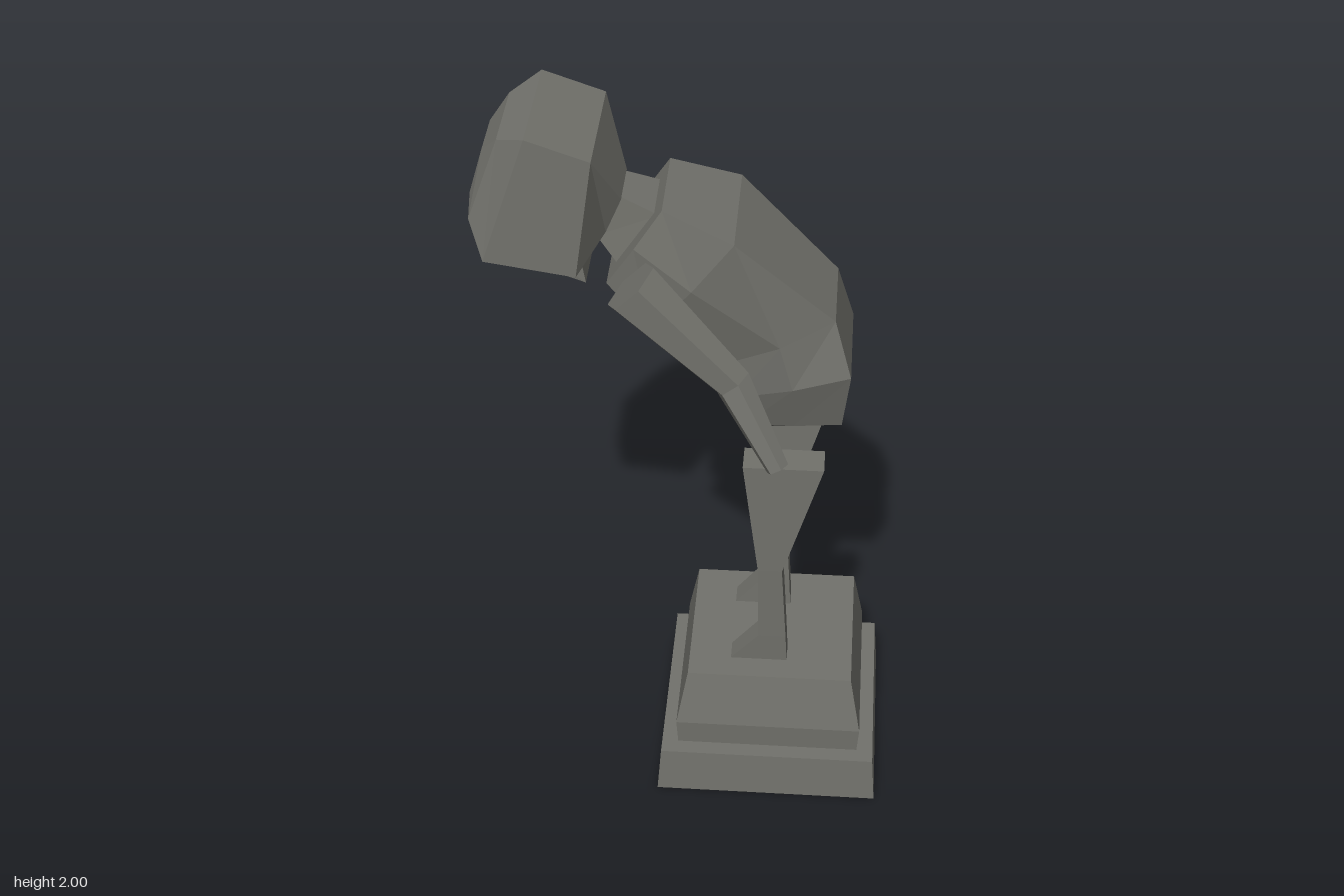
import * as THREE from 'three';

const stone = new THREE.MeshStandardMaterial({ color: 0x72726c, flatShading: true });
stone.name = 'grey stone';

// Skin a list of equal-sized rings of [x, y, z] points and cap both ends, faces outward
function loft(name, rings) {
  const tris = [];
  const n = rings[0].length;
  for (let r = 0; r < rings.length - 1; r++) {
    for (let i = 0; i < n; i++) {
      const j = (i + 1) % n;
      const a = rings[r][i], b = rings[r][j], c = rings[r + 1][j], d = rings[r + 1][i];
      tris.push([a, b, c], [a, c, d]);
    }
  }
  const first = rings[0], last = rings[rings.length - 1];
  for (let i = 1; i < n - 1; i++) {
    tris.push([first[0], first[i + 1], first[i]], [last[0], last[i], last[i + 1]]);
  }
  let volume = 0;
  for (const t of tris) {
    const [a, b, c] = t.map((p) => new THREE.Vector3(...p));
    volume += a.dot(b.cross(c));
  }
  if (volume < 0) tris.forEach((t) => t.reverse());
  const geometry = new THREE.BufferGeometry();
  geometry.setAttribute('position', new THREE.Float32BufferAttribute(tris.flat(2), 3));
  geometry.computeVertexNormals();
  const mesh = new THREE.Mesh(geometry, stone);
  mesh.name = name;
  return mesh;
}

// Four-cornered section across the body: upper point, lower point, half widths
const quad = ([ux, uy], [lx, ly], uw, lw = uw) =>
  [[ux, uy, -uw], [ux, uy, uw], [lx, ly, lw], [lx, ly, -lw]];

// Six-cornered section with bulging sides
const bulged = ([ux, uy], [lx, ly], uw, mw, lw) => {
  const mx = (ux + lx) / 2, my = (uy + ly) / 2;
  return [[ux, uy, -uw], [ux, uy, uw], [mx, my, mw], [lx, ly, lw], [lx, ly, -lw], [mx, my, -mw]];
};

// Horizontal rectangle
const level = (y, x0, x1, z0, z1) => [[x0, y, z0], [x1, y, z0], [x1, y, z1], [x0, y, z1]];

// Faceted limb through joints, each [x, y, z, radius]
function limb(name, joints, sides = 6) {
  const points = joints.map(([x, y, z]) => new THREE.Vector3(x, y, z));
  const rings = joints.map((joint, k) => {
    const dir = points[Math.min(k + 1, points.length - 1)].clone()
      .sub(points[Math.max(k - 1, 0)]).normalize();
    const u = new THREE.Vector3(0, 0, 1).cross(dir).normalize();
    const v = dir.clone().cross(u);
    return Array.from({ length: sides }, (_, i) => {
      const a = (i / sides) * Math.PI * 2;
      return points[k].clone()
        .addScaledVector(u, Math.cos(a) * joint[3])
        .addScaledVector(v, Math.sin(a) * joint[3]).toArray();
    });
  });
  return loft(name, rings);
}

export function createModel() {
  const model = new THREE.Group();
  model.name = 'bowingStatue';

  // Stepped pedestal
  model.add(loft('pedestalFoot', [
    level(0, -0.07, 0.54, -0.302, 0.302),
    level(0.135, -0.06, 0.53, -0.295, 0.295),
  ]));
  model.add(loft('pedestalBlock', [
    level(0.135, -0.015, 0.485, -0.25, 0.25),
    level(0.21, -0.02, 0.49, -0.255, 0.255),
    level(0.37, 0.01, 0.46, -0.225, 0.225),
  ]));

  // Legs, with the feet pointing along -x
  for (const side of [1, -1]) {
    const section = (y, x0, x1, inner, outer) =>
      level(y, x0, x1, side * inner, side * outer);
    model.add(loft(side > 0 ? 'nearLeg' : 'farLeg', [
      section(0.37, 0.125, 0.28, 0.09, 0.152),
      section(0.46, 0.2, 0.275, 0.09, 0.158),
      section(0.7, 0.195, 0.26, 0.09, 0.168),
      section(1.053, 0.15, 0.362, 0.09, 0.178),
    ]));
  }

  // Bent torso, from shoulders to the ridged underside of the hips
  model.add(loft('torso', [
    bulged([-0.06, 1.79], [-0.2, 1.575], 0.13, 0.14, 0.13),
    bulged([0.12, 1.725], [-0.09, 1.44], 0.172, 0.17, 0.13),
    bulged([0.375, 1.485], [0.1, 1.34], 0.125, 0.15, 0.12),
    bulged([0.42, 1.33], [0.125, 1.235], 0.15, 0.148, 0.12),
    bulged([0.402, 1.145], [0.15, 1.13], 0.095, 0.1, 0.09),
    bulged([0.385, 1.08], [0.165, 1.063], 0.006, 0.006, 0.006),
  ]));

  // Neck
  model.add(loft('neck', [
    quad([-0.07, 1.75], [-0.16, 1.58], 0.085),
    quad([-0.19, 1.795], [-0.23, 1.67], 0.06),
  ]));

  // Head: bevelled crown, wide middle, tapering in to the neck
  model.add(loft('head', [
    quad([-0.505, 1.91], [-0.54, 1.79], 0.075),
    quad([-0.46, 1.965], [-0.54, 1.74], 0.12),
    quad([-0.385, 2.0], [-0.5, 1.655], 0.18),
    quad([-0.225, 1.945], [-0.27, 1.62], 0.18),
    quad([-0.165, 1.785], [-0.205, 1.69], 0.075),
  ]));
  model.add(loft('chin', [
    quad([-0.4, 1.68], [-0.44, 1.635], 0.12),
    quad([-0.27, 1.645], [-0.255, 1.555], 0.1),
  ]));

  // Hanging arms, one reaching further than the other
  model.add(limb('nearArm', [
    [-0.13, 1.63, 0.225, 0.08],
    [0.125, 1.37, 0.245, 0.05],
    [0.245, 1.16, 0.315, 0.03],
  ]));
  model.add(limb('farArm', [
    [-0.055, 1.65, -0.225, 0.08],
    [0.115, 1.4, -0.265, 0.05],
    [0.18, 1.12, -0.32, 0.028],
  ]));
  return model;
}
